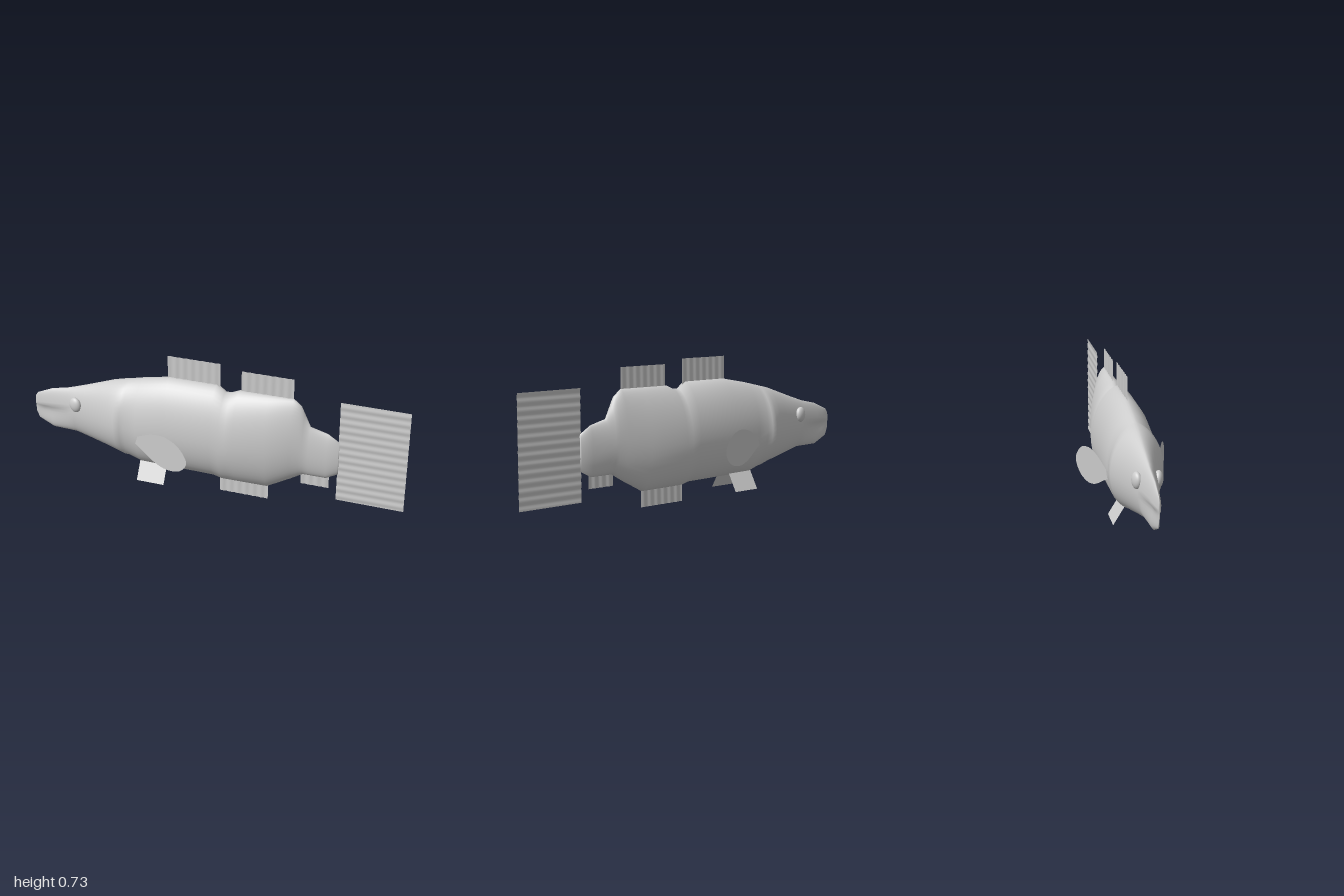
import * as THREE from 'three';

const grey = new THREE.MeshStandardMaterial({ color: 0xcccccc, side: THREE.DoubleSide });
grey.name = 'paleGrey';

// Body profiles along x: back line, belly line and half width
const back = [
  [-1, 0.375], [-0.985, 0.395], [-0.9, 0.432], [-0.8, 0.454], [-0.7, 0.487], [-0.54, 0.543],
  [-0.38, 0.581], [-0.23, 0.61], [0.02, 0.61], [0.065, 0.576], [0.1, 0.58], [0.14, 0.598],
  [0.42, 0.6], [0.46, 0.568], [0.51, 0.462], [0.6, 0.438], [0.66, 0.4]
];
const belly = [
  [-1, 0.28], [-0.985, 0.245], [-0.9, 0.205], [-0.76, 0.203], [-0.7, 0.188], [-0.5, 0.142],
  [-0.38, 0.104], [0.02, 0.098], [0.065, 0.086], [0.3, 0.083], [0.42, 0.15], [0.48, 0.187],
  [0.6, 0.187], [0.66, 0.22]
];
const girth = [
  [-1, 0.006], [-0.95, 0.02], [-0.8, 0.042], [-0.7, 0.063], [-0.6, 0.093], [-0.5, 0.128],
  [-0.465, 0.134], [-0.45, 0.113], [-0.38, 0.126], [-0.23, 0.131], [0.02, 0.129],
  [0.14, 0.12], [0.3, 0.097], [0.51, 0.038], [0.6, 0.028], [0.66, 0.018]
];

function sample(profile, x) {
  const i = Math.max(1, profile.findIndex(p => p[0] >= x));
  const [x0, v0] = profile[i - 1], [x1, v1] = profile[i];
  return THREE.MathUtils.mapLinear(x, x0, x1, v0, v1);
}

function addMesh(group, name, geometry) {
  const mesh = new THREE.Mesh(geometry, grey);
  mesh.name = name;
  group.add(mesh);
  return mesh;
}

// Loft of egg-shaped rings, closed at both ends, with a hollow along the mouth
function bodyGeometry() {
  const sides = 48, pos = [], index = [];
  const xs = [...new Set([...back, ...belly, ...girth].map(p => p[0]))].sort((a, b) => a - b);
  const rings = [xs[0], ...xs, xs[xs.length - 1]];
  rings.forEach((x, i) => {
    const last = i === rings.length - 1;
    const size = i === 0 || last ? 0 : 1;
    const top = sample(back, x), bottom = sample(belly, x), w = sample(girth, x) * size;
    const mid = bottom + (top - bottom) * 0.46;
    for (let j = 0; j < sides; j++) {
      const a = (j / sides) * Math.PI * 2, c = Math.cos(a), s = Math.sin(a);
      const y = mid + size * c * (c > 0 ? top - mid : mid - bottom);
      let z = w * Math.sign(s) * Math.pow(Math.abs(s), c > 0 ? 1.2 : 1);
      if (x < -0.8) {
        const open = Math.min(1, (-0.8 - x) / 0.08);
        const t = THREE.MathUtils.clamp((0.33 - y) / 0.11, 0, 1);
        z *= 1 - 0.6 * open * Math.sin(Math.PI * Math.sqrt(t));
      }
      pos.push(x, y, z);
      if (!last) {
        const p = i * sides + j, q = i * sides + (j + 1) % sides;
        index.push(p, q, p + sides, q, q + sides, p + sides);
      }
    }
  });
  const g = new THREE.BufferGeometry();
  g.setAttribute('position', new THREE.Float32BufferAttribute(pos, 3));
  g.setIndex(index);
  g.computeVertexNormals();
  return g;
}

// Sets z of every vertex by a rule of x and y
function bend(g, rule) {
  const p = g.attributes.position;
  for (let i = 0; i < p.count; i++) p.setZ(i, rule(p.getX(i), p.getY(i)));
  g.computeVertexNormals();
  return g;
}

// Thin rectangular fin with shallow ripples across its rays
function finGeometry(x0, x1, y0, y1, alongY = false) {
  const g = new THREE.PlaneGeometry(x1 - x0, y1 - y0, alongY ? 1 : 48, alongY ? 80 : 1);
  g.translate((x0 + x1) / 2, (y0 + y1) / 2, 0);
  return bend(g, (x, y) => 0.0015 * Math.sin((alongY ? y : x) * 150));
}

// Paddle outline of the side fin, leaning outward toward the tail
function pectoralGeometry(side) {
  const outline = new THREE.SplineCurve([
    [-0.38, 0.3], [-0.345, 0.318], [-0.27, 0.353], [-0.19, 0.365], [-0.11, 0.338], [-0.06, 0.268],
    [-0.1, 0.205], [-0.18, 0.181], [-0.26, 0.196], [-0.345, 0.243], [-0.38, 0.26]
  ].map(([x, y]) => new THREE.Vector2(x, y)));
  const g = new THREE.ShapeGeometry(new THREE.Shape(outline.getPoints(48)));
  return bend(g, x => side * (0.128 + (x + 0.36) * 0.33));
}

// Small fin under the belly, splayed outward
function pelvicGeometry(side) {
  const g = new THREE.PlaneGeometry(0.15, 0.1);
  g.translate(-0.315, 0.075, 0);
  return bend(g, (x, y) => side * (0.095 - (y - 0.025) * 0.6));
}

export function createModel() {
  const fish = new THREE.Group();
  fish.name = 'fish';
  addMesh(fish, 'body', bodyGeometry());

  // Fins on the centre line
  addMesh(fish, 'frontDorsalFin', finGeometry(-0.24, 0.04, 0.57, 0.727));
  addMesh(fish, 'rearDorsalFin', finGeometry(0.15, 0.42, 0.57, 0.705));
  addMesh(fish, 'analFin', finGeometry(0.04, 0.3, 0, 0.11));
  addMesh(fish, 'rearAnalFin', finGeometry(0.47, 0.615, 0.13, 0.21));
  addMesh(fish, 'tailFin', finGeometry(0.655, 1, 0.07, 0.62, true));

  // Paired fins and eyes
  for (const [label, side] of [['left', 1], ['right', -1]]) {
    addMesh(fish, label + 'PectoralFin', pectoralGeometry(side));
    addMesh(fish, label + 'PelvicFin', pelvicGeometry(side));
    const eye = addMesh(fish, label + 'Eye', new THREE.SphereGeometry(1, 24, 16));
    eye.scale.set(0.035, 0.041, 0.022);
    eye.position.set(-0.745, 0.385, side * 0.05);
    eye.rotation.y = -side * 0.25;
  }
  return fish;
}
